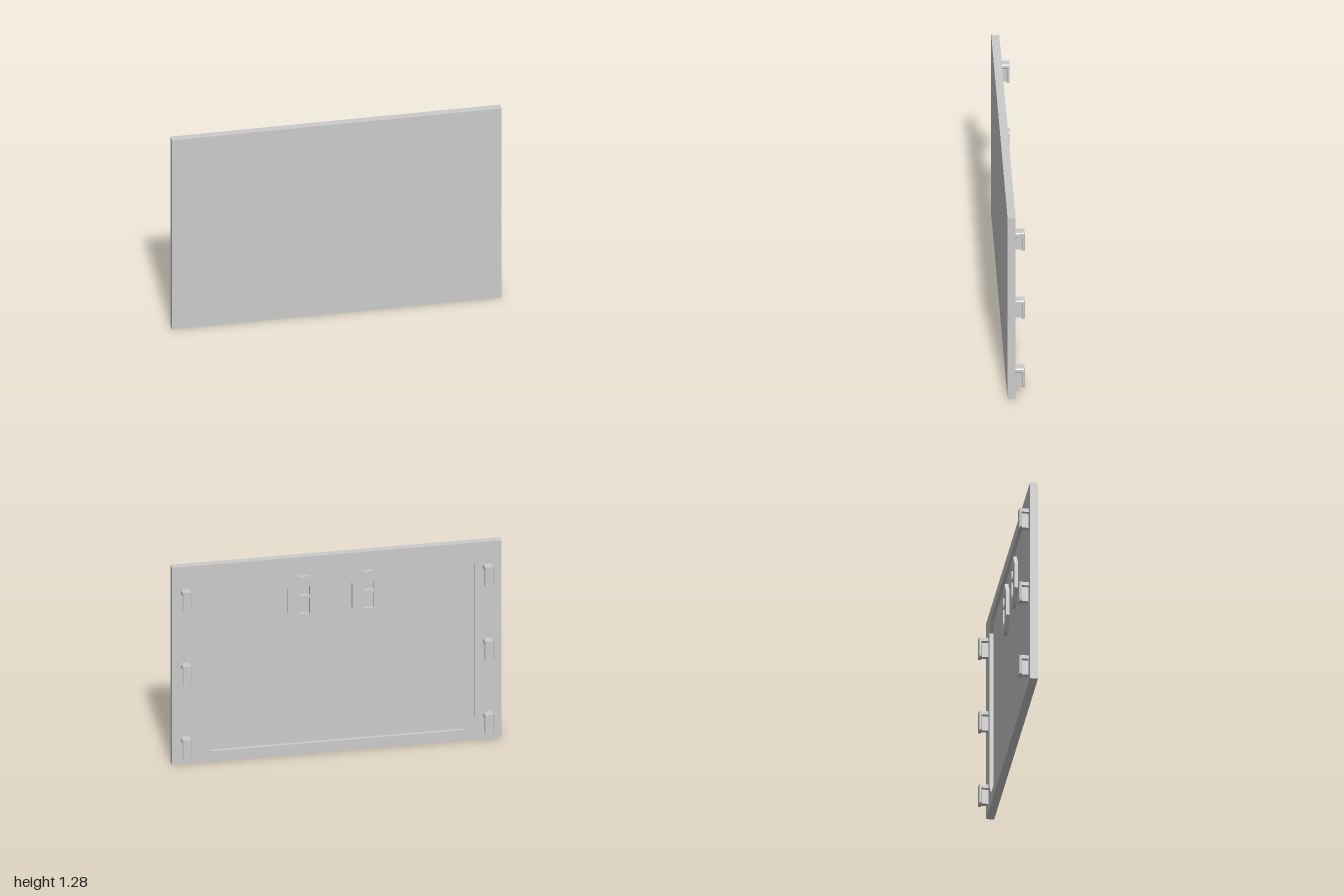
import * as THREE from 'three';

const material = new THREE.MeshStandardMaterial({ color: 0xcccccc, flatShading: true });
const W = 2, H = 1.284, BACK = 0.005, FLOOR = 0.027, FRONT = 0.053;

function add(parent, name, geometry) {
  const mesh = new THREE.Mesh(geometry, material);
  mesh.name = name;
  parent.add(mesh);
  return mesh;
}

// Rectangle with corners cut by cx, cy
function chamferedRect(x0, x1, y0, y1, cx, cy) {
  return [
    [x0 + cx, y0], [x1 - cx, y0], [x1, y0 + cy], [x1, y1 - cy],
    [x1 - cx, y1], [x0 + cx, y1], [x0, y1 - cy], [x0, y0 + cy],
  ].map(([x, y]) => new THREE.Vector2(x, y));
}

const rect = (x0, x1, y0, y1) =>
  [[x0, y0], [x1, y0], [x1, y1], [x0, y1]].map(([x, y]) => new THREE.Vector2(x, y));

// Flat plate with holes, between the back surface and the recess floor
function plate(outline, holes) {
  const shape = new THREE.Shape(outline);
  holes.forEach((h) => shape.holes.push(new THREE.Path(h)));
  return new THREE.ExtrudeGeometry(shape, { depth: FLOOR - BACK, bevelEnabled: false })
    .translate(0, 0, BACK);
}

// Hook: bevelled cap and hanging plate, with a narrower web behind it
function makeHook() {
  const hook = new THREE.Group();
  hook.name = 'hook';
  const profile = [[0.014, 0.096], [-0.034, 0.096], [-0.034, 0], [-0.052, 0], [-0.052, 0.127], [0.014, 0.127]];
  const bevel = 0.006, width = 0.058;
  const shape = new THREE.Shape(profile.map(([z, y]) => new THREE.Vector2(z, y)));
  const body = new THREE.ExtrudeGeometry(shape, {
    depth: width - 2 * bevel, bevelEnabled: true, bevelSegments: 1,
    bevelSize: bevel, bevelThickness: bevel, bevelOffset: -bevel,
  });
  body.translate(0, 0, -(width - 2 * bevel) / 2).rotateY(-Math.PI / 2);
  add(hook, 'hookBody', body);
  add(hook, 'hookWeb', new THREE.BoxGeometry(0.032, 0.1, 0.05).translate(0, 0.054, -0.016));
  return hook;
}

export function createModel() {
  const model = new THREE.Group();
  model.name = 'panel';

  // Front slab and the raised rim around the recess
  add(model, 'frontSlab', new THREE.BoxGeometry(W, H, FRONT - FLOOR)
    .translate(0, H / 2, (FRONT + FLOOR) / 2));
  add(model, 'backRim', plate(rect(-W / 2, W / 2, 0, H),
    [chamferedRect(-0.84, 0.84, 0.068, 1.214, 0.07, 0.07)]));

  for (const side of [-1, 1]) {
    // Octagonal hanger pad with two slots
    const c = side * 0.195;
    add(model, 'hangerPad', plate(chamferedRect(c - 0.1, c + 0.1, 0.845, 1.155, 0.065, 0.078), [
      rect(c - 0.031, c + 0.031, 1.032, 1.09),
      rect(c - 0.031, c + 0.031, 0.913, 1.014),
    ]));

    // Three hooks down each edge
    for (const y of [0.05, 0.531, 1.013]) {
      const hook = makeHook();
      hook.position.set(side * 0.917, y, 0);
      model.add(hook);
    }
  }
  return model;
}
